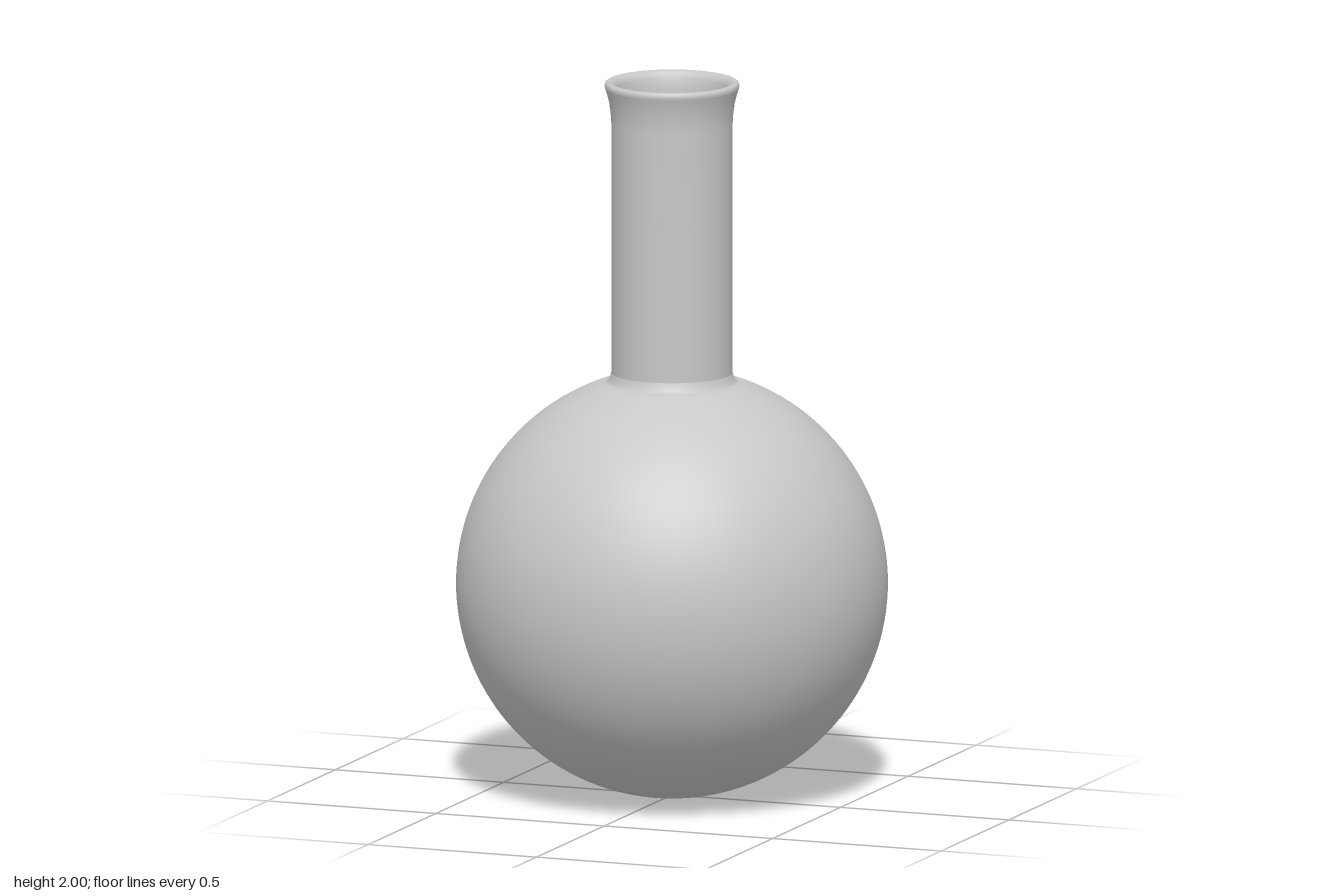
import * as THREE from 'three';

export function createModel() {
  const group = new THREE.Group();
  const grey = new THREE.MeshStandardMaterial({ color: 0xc8c8c8 });
  grey.name = 'light grey';

  const R = 0.595; // bulb radius, also the height of its centre
  const neckR = 0.167;
  const baseY = 1.155; // where the neck meets the bulb

  function lathe(name, pairs) {
    const points = pairs.map(([r, y]) => new THREE.Vector2(r, y));
    const mesh = new THREE.Mesh(new THREE.LatheGeometry(points, 96), grey);
    mesh.name = name;
    group.add(mesh);
  }

  // Points on the bulb's sphere between two angles measured from the bottom
  function arc(from, to, steps) {
    return Array.from({ length: steps + 1 }, (_, i) => {
      const a = from + ((to - from) * i) / steps;
      return [Math.max(0, R * Math.sin(a)), R - R * Math.cos(a)];
    });
  }

  // Round bulb, cut level where the neck begins
  const cut = Math.PI - Math.acos((baseY - R) / R);
  lathe('bulb', arc(0, cut, 64));

  // Narrow shoulder and soft foot leading into the neck
  lathe('shoulder', [[0.202, baseY], [0.185, baseY + 0.001], [0.174, baseY + 0.008], [neckR, baseY + 0.03]]);

  // Straight neck with a flared, rounded lip that rolls inward
  lathe('neckAndLip', [
    [neckR, baseY + 0.03], [neckR, 1.3], [neckR, 1.6], [neckR, 1.88],
    [0.169, 1.91], [0.173, 1.94], [0.179, 1.965], [0.184, 1.98],
    [0.186, 1.988], [0.184, 1.996], [0.178, 2.0], [0.168, 1.999],
    [0.158, 1.993], [0.151, 1.98], [0.147, 1.955], [0.145, 1.92], [0.144, 1.89],
  ]);

  // Bore below the lip
  lathe('lipUnderside', [[0.144, 1.89], [0.15, 1.885]]);
  lathe('neckBore', [[0.15, 1.885], [0.15, 1.5], [0.15, baseY]]);

  // Domed top of the bulb, seen down the neck
  lathe('bulbCrown', arc(Math.PI - Math.asin(0.155 / R), Math.PI, 12));

  return group;
}
